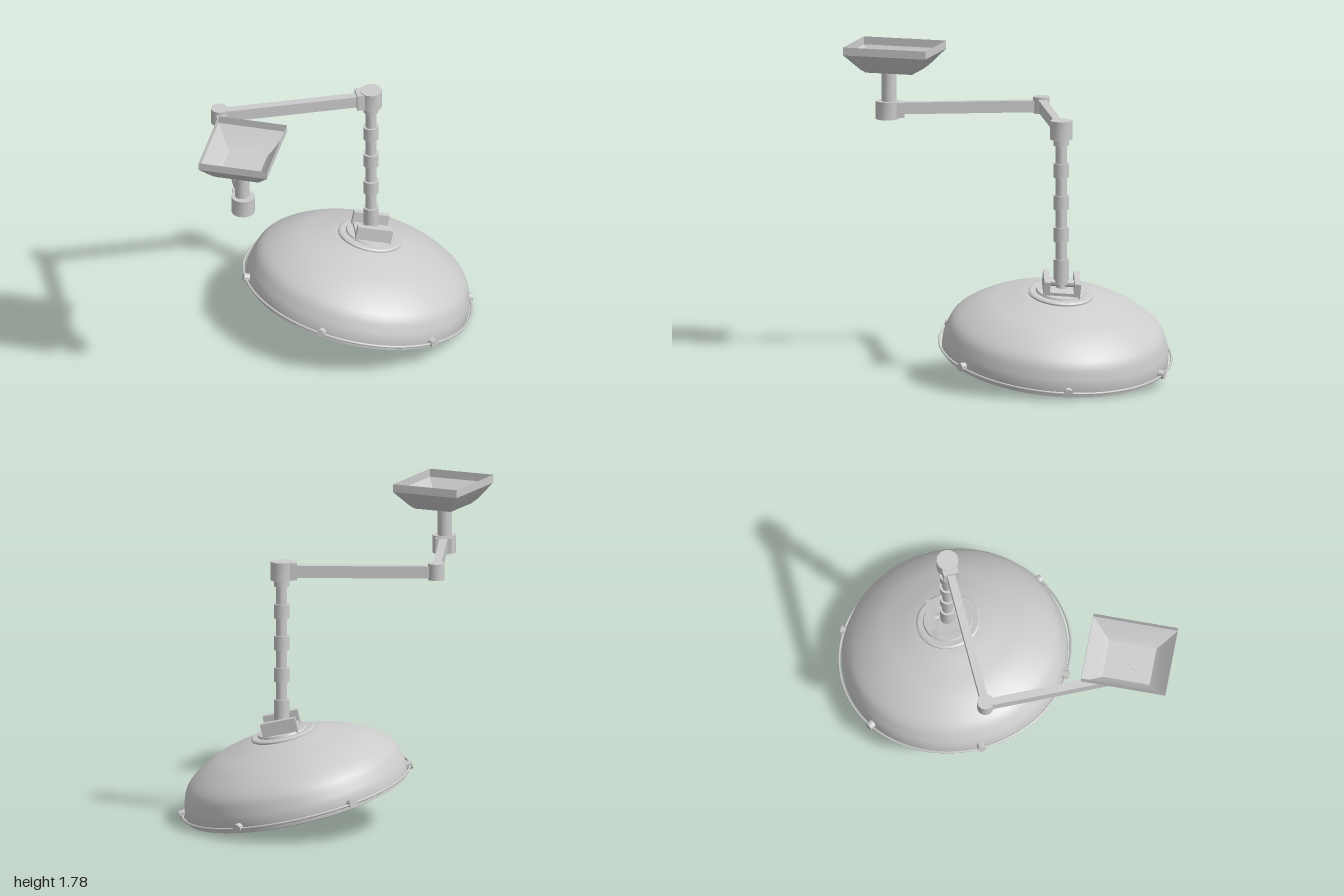
import * as THREE from 'three';
import { toCreasedNormals } from 'three/addons/utils/BufferGeometryUtils.js';

const grey = new THREE.MeshStandardMaterial({ color: 0xcccccc });
const greyOpen = new THREE.MeshStandardMaterial({ color: 0xcccccc, side: THREE.DoubleSide });

function add(parent, name, geometry, x = 0, y = 0, z = 0, material = grey) {
  const mesh = new THREE.Mesh(geometry, material);
  mesh.name = name;
  mesh.position.set(x, y, z);
  parent.add(mesh);
  return mesh;
}

// Upright cylinder between two heights
function post(parent, name, x, z, y0, y1, r, sides = 24) {
  const geo = toCreasedNormals(new THREE.CylinderGeometry(r, r, y1 - y0, sides), 0.6);
  return add(parent, name, geo, x, (y0 + y1) / 2, z);
}

// Horizontal box beam from a to b, given as [x, z]
function beam(parent, name, a, b, y0, y1, width) {
  const dx = b[0] - a[0], dz = b[1] - a[1];
  const mesh = add(parent, name, new THREE.BoxGeometry(Math.hypot(dx, dz), y1 - y0, width),
    (a[0] + b[0]) / 2, (y0 + y1) / 2, (a[1] + b[1]) / 2);
  mesh.rotation.y = Math.atan2(-dz, dx);
  return mesh;
}

// Point on the way from a to b, at a set distance from a
function toward(a, b, d) {
  const l = Math.hypot(b[0] - a[0], b[1] - a[1]);
  return [a[0] + (b[0] - a[0]) * d / l, a[1] + (b[1] - a[1]) * d / l];
}

function lathe(points, segments, crease = 0.5) {
  return toCreasedNormals(
    new THREE.LatheGeometry(points.map(p => new THREE.Vector2(...p)), segments), crease);
}

function buildMount(root) {
  // Open rectangular funnel fixed to the ceiling
  const geo = lathe([[0, 1.63], [0.56, 1.63], [0.67, 1.65], [1, 1.735], [1, 1.78]], 4, 0.3);
  geo.rotateY(Math.PI / 4);
  geo.scale(0.478 / Math.SQRT2, 1, 0.39 / Math.SQRT2);
  const canopy = add(root, 'ceilingCanopy', toCreasedNormals(geo, 0.3), -0.69, 0, 0.385, greyOpen);
  canopy.rotation.y = 0.749;
  post(root, 'ceilingStem', -0.71, 0.41, 1.44, 1.635, 0.041);
}

function buildArms(root) {
  const shoulder = [-0.71, 0.42], elbow = [-0.35, -0.36], wrist = [0.443, -0.03];
  // Shoulder knuckle
  post(root, 'shoulderJoint', ...shoulder, 1.36, 1.46, 0.066, 12);
  beam(root, 'shoulderSocket', shoulder, toward(shoulder, elbow, 0.09), 1.37, 1.455, 0.09);
  // Two swinging beams and the elbow
  beam(root, 'upperArm', shoulder, elbow, 1.387, 1.452, 0.045);
  post(root, 'elbowJoint', ...elbow, 1.38, 1.472, 0.046);
  beam(root, 'foreArm', elbow, wrist, 1.39, 1.458, 0.045);
  // Wrist knuckle
  post(root, 'wristJoint', ...wrist, 1.375, 1.48, 0.062, 12);
  beam(root, 'wristSocket', wrist, toward(wrist, elbow, 0.085), 1.38, 1.476, 0.085);
  // Drop post with sleeves
  post(root, 'dropPost', ...wrist, 0.52, 1.4, 0.031);
  for (const [y0, y1] of [[0.56, 0.7], [0.8, 0.88], [0.98, 1.06], [1.16, 1.24], [1.34, 1.38]])
    post(root, 'postSleeve', ...wrist, y0, y1, 0.043);
}

// Round lamp with a raised rim, opening downward
function lamp(parent, name, r, x, z) {
  const geo = lathe([
    [0, -0.068], [r - 0.015, -0.068], [r - 0.01, -0.086], [r, -0.086], [r, -0.03],
  ], 32);
  add(parent, name, geo, x, 0, z);
}

function buildHead(root) {
  const head = new THREE.Group();
  head.name = 'lampHead';
  head.position.set(0.36, 0.178, -0.04);
  head.quaternion.setFromUnitVectors(
    new THREE.Vector3(0, 1, 0), new THREE.Vector3(0.227, 0.974, 0.03).normalize());
  root.add(head);

  // Domed shell, closed by a shallow underside
  const dome = new THREE.SplineCurve([
    [0.63, -0.03], [0.63, 0.02], [0.618, 0.075], [0.575, 0.16], [0.44, 0.25],
    [0.3, 0.3], [0.17, 0.333], [0, 0.345],
  ].map(p => new THREE.Vector2(...p))).getPoints(28).map(p => [Math.max(p.x, 0), p.y]);
  const under = [[0, -0.05], [0.445, -0.05], [0.455, -0.06], [0.47, -0.06], [0.6, -0.04]];
  add(head, 'domeShell', lathe([...under, ...dome], 72));

  // Lamps under the shell
  lamp(head, 'centreLamp', 0.2, 0, 0);
  for (let i = 0; i < 8; i++) {
    const a = 0.59 + i * Math.PI / 4;
    lamp(head, 'outerLamp', 0.095, 0.325 * Math.cos(a), 0.325 * Math.sin(a));
  }

  // Handrail and its clamps
  const rail = add(head, 'handRail', new THREE.TorusGeometry(0.648, 0.007, 8, 96));
  rail.rotation.x = Math.PI / 2;
  for (let i = 0; i < 6; i++) {
    const a = 0.4 + i * Math.PI / 3;
    const geo = toCreasedNormals(new THREE.CylinderGeometry(0.023, 0.023, 0.05, 16), 0.6);
    geo.rotateZ(Math.PI / 2);
    const clamp = add(head, 'railClamp', geo, 0.638 * Math.cos(a), 0.005, 0.638 * Math.sin(a));
    clamp.rotation.y = -a;
  }

  // Collar on top of the shell
  add(head, 'collar', lathe([
    [0.18, 0.31], [0.18, 0.34], [0.17, 0.347], [0.14, 0.347], [0.135, 0.358], [0, 0.358],
  ], 48));

  // Forked bracket holding the post
  const fork = new THREE.Group();
  fork.name = 'forkBracket';
  fork.rotation.y = -0.47;
  head.add(fork);
  add(fork, 'forkBase', new THREE.BoxGeometry(0.19, 0.03, 0.18), 0, 0.36, 0);
  for (const s of [-1, 1])
    add(fork, 'forkPlate', new THREE.BoxGeometry(0.2, 0.09, 0.034), 0, 0.39, s * 0.085);
  const pin = post(fork, 'forkPin', 0, 0, 0.315, 0.485, 0.02, 16);
  pin.rotation.x = Math.PI / 2;
}

export function createModel() {
  const root = new THREE.Group();
  root.name = 'surgicalLamp';
  buildMount(root);
  buildArms(root);
  buildHead(root);
  return root;
}
